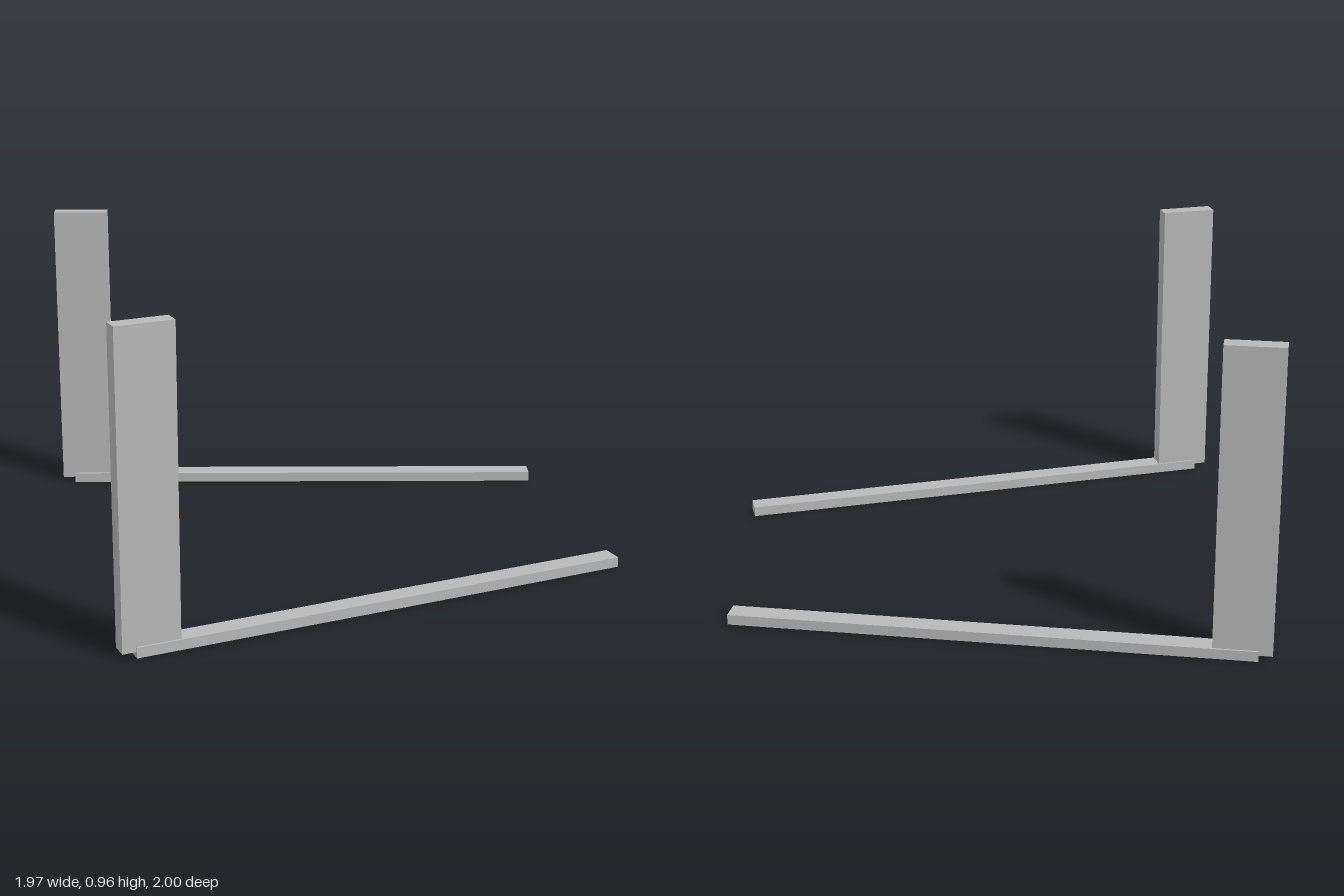
import * as THREE from 'three';

const steel = new THREE.MeshStandardMaterial({ color: 0xb8b8b8 });
steel.name = 'grey steel';

// One L-shaped fork: a long flat blade along local x with an upright shank at its heel
function createFork(name, x, z, degrees) {
  const fork = new THREE.Group();
  fork.name = name;

  const blade = new THREE.Mesh(new THREE.BoxGeometry(1.598, 0.032, 0.065), steel);
  blade.name = 'blade';
  blade.position.y = 0.016;

  // The shank overhangs the heel slightly and sinks halfway into the blade
  const shank = new THREE.Mesh(new THREE.BoxGeometry(0.177, 0.947, 0.053), steel);
  shank.name = 'shank';
  shank.position.set(-0.752, 0.4905, 0);

  fork.add(blade, shank);
  fork.position.set(x, 0, z);
  fork.rotation.y = THREE.MathUtils.degToRad(degrees);
  return fork;
}

export function createModel() {
  const model = new THREE.Group();
  model.name = 'forkPair';
  model.add(
    createFork('rightFork', -0.2915, -0.504, 36),
    createFork('leftFork', 0.551, 0.2605, 60)
  );
  return model;
}
